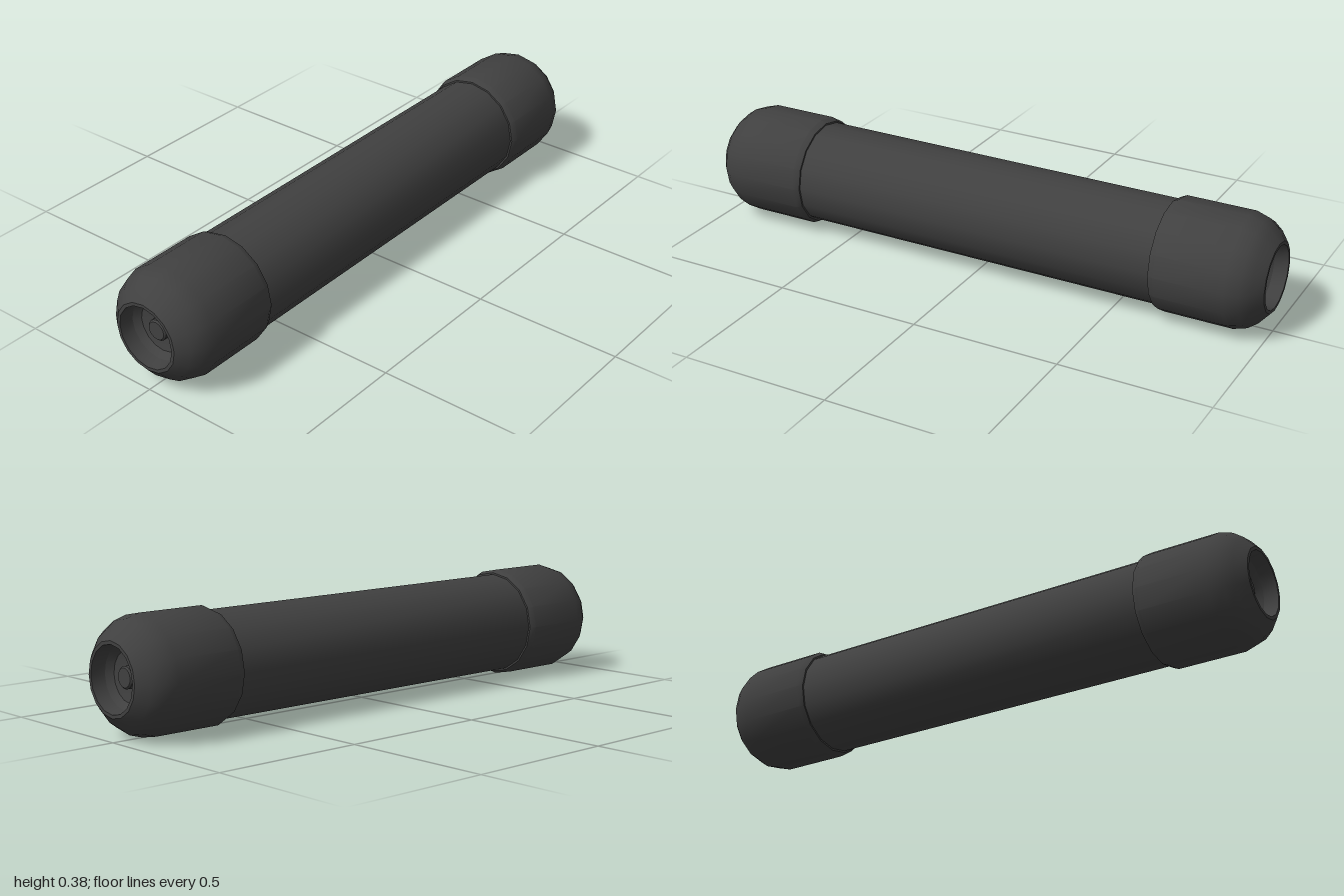
import * as THREE from 'three';
import { toCreasedNormals } from 'three/addons/utils/BufferGeometryUtils.js';

const SIDES = 16;
const RADIUS = 0.1875;

export function createModel() {
  const model = new THREE.Group();
  const dark = new THREE.MeshStandardMaterial({ color: 0x404040 });

  // Body parts are turned about the x axis, from [distance along x, radius] pairs
  function turned(name, profile, direction) {
    const points = profile.map(([x, r]) => new THREE.Vector2(r, x));
    const geometry = toCreasedNormals(new THREE.LatheGeometry(points, SIDES), 0.5);
    const mesh = new THREE.Mesh(geometry, dark);
    mesh.name = name;
    mesh.rotation.z = -direction * Math.PI / 2;
    mesh.position.y = RADIUS;
    model.add(mesh);
  }

  // Long straight barrel
  turned('barrel', [[-0.67, 0.172], [0.67, 0.172]], 1);

  // Rounded end caps with a dished recess, and a small stud in the middle
  const cap = [
    [0.645, 0.168], [0.645, 0.178], [0.665, RADIUS], [0.895, RADIUS],
    [0.94, 0.174], [0.97, 0.152], [1, 0.116],
    [1, 0.105], [0.955, 0.098], [0.935, 0.08], [0.93, 0.05], [0.93, 0],
  ];
  const stud = [[0.92, 0.035], [0.95, 0.035], [0.955, 0.03], [0.955, 0]];
  for (const [side, direction] of [['left', 1], ['right', -1]]) {
    turned(side + 'EndCap', cap, direction);
    turned(side + 'Stud', stud, direction);
  }

  return model;
}
